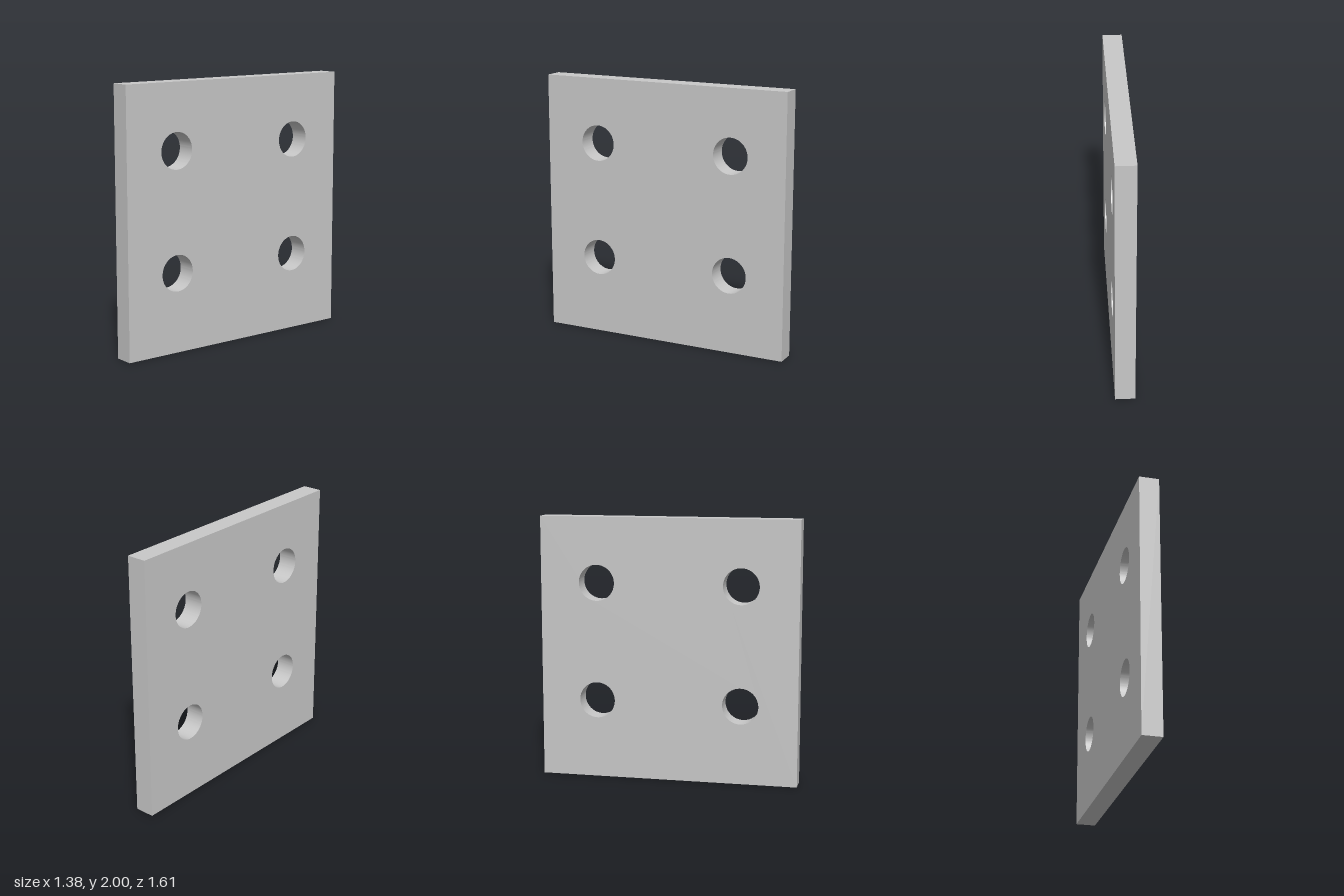
import * as THREE from 'three';
import { toCreasedNormals } from 'three/addons/utils/BufferGeometryUtils.js';

const WIDTH = 1.975, HEIGHT = 2, THICKNESS = 0.15;
const HOLE_RADIUS = 0.137, HOLE_X = 0.553, HOLE_HEIGHTS = [0.6, 1.502];

export function createModel() {
  const model = new THREE.Group();
  model.name = 'mountingPlate';

  const greyMetal = new THREE.MeshStandardMaterial({ color: 0xc8c8c8 });
  greyMetal.name = 'greyMetal';

  // Rectangular outline standing on the ground
  const w = WIDTH / 2;
  const outline = new THREE.Shape([
    new THREE.Vector2(-w, 0), new THREE.Vector2(w, 0),
    new THREE.Vector2(w, HEIGHT), new THREE.Vector2(-w, HEIGHT),
  ]);

  // Four round through holes
  for (const x of [-HOLE_X, HOLE_X]) {
    for (const y of HOLE_HEIGHTS) {
      outline.holes.push(new THREE.Path().absarc(x, y, HOLE_RADIUS, 0, Math.PI * 2, true));
    }
  }

  // Plate, smooth inside the holes and sharp at every edge
  const extruded = new THREE.ExtrudeGeometry(outline, {
    depth: THICKNESS, bevelEnabled: false, curveSegments: 48,
  });
  extruded.translate(0, 0, -THICKNESS / 2);
  const plate = new THREE.Mesh(toCreasedNormals(extruded, Math.PI / 6), greyMetal);
  plate.name = 'plate';
  plate.rotation.y = THREE.MathUtils.degToRad(50);
  model.add(plate);

  return model;
}
